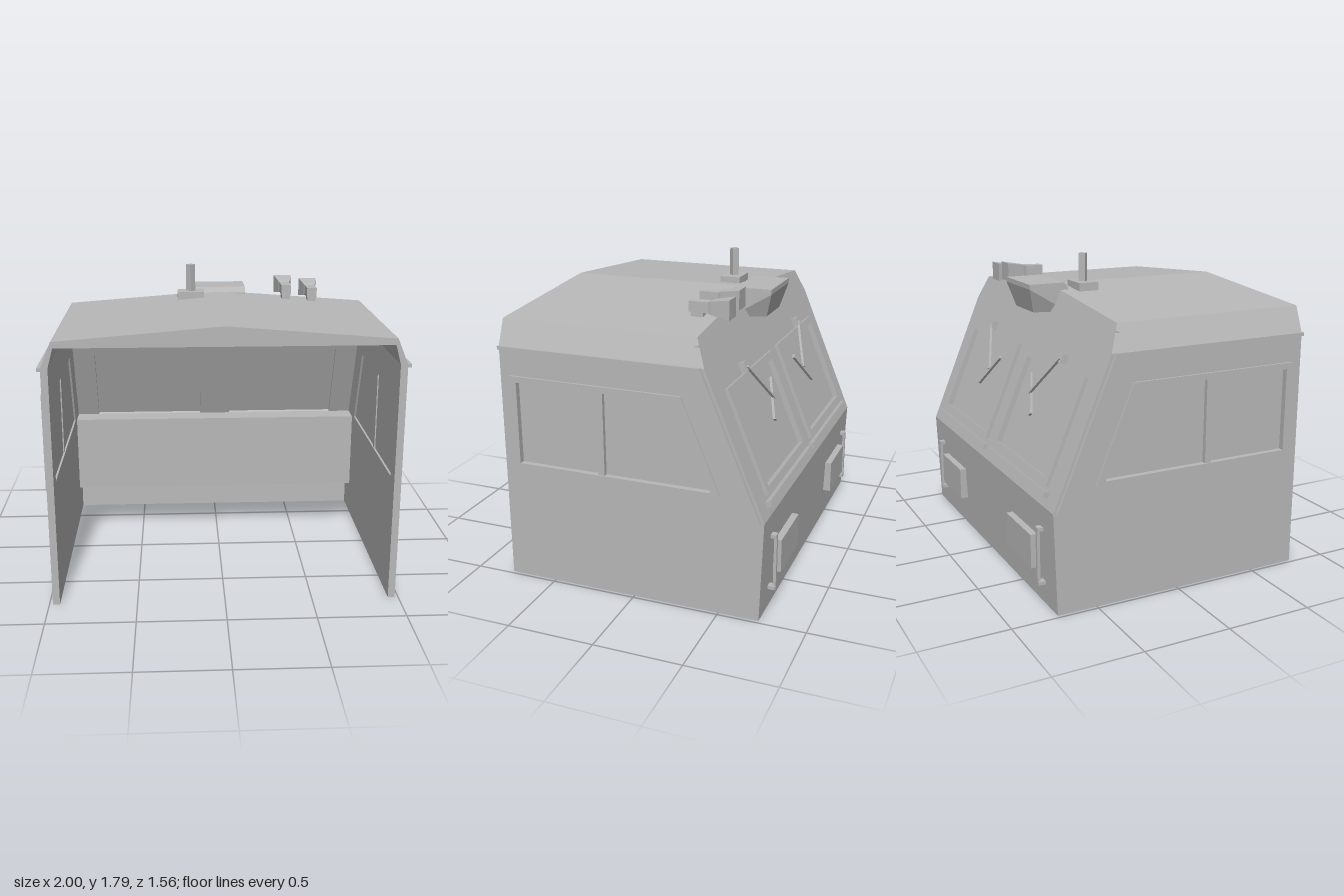
import * as THREE from 'three';

export function createModel() {
  const root = new THREE.Group();
  root.name = 'vehicleCab';
  const grey = new THREE.MeshStandardMaterial({ color: 0xb8b8b8 });
  grey.name = 'plain grey';

  const add = (name, geo, parent = root) => {
    const flat = geo.index ? geo.toNonIndexed() : geo;
    flat.computeVertexNormals();
    const mesh = new THREE.Mesh(flat, grey);
    mesh.name = name;
    parent.add(mesh);
    return mesh;
  };
  const vecs = (pts, flip = 1) => pts.map(([a, b]) => new THREE.Vector2(flip * a, b));
  const extrude = (pts, holes, depth, flip = 1) => {
    const shape = new THREE.Shape(vecs(pts, flip));
    holes.forEach((h) => shape.holes.push(new THREE.Path(vecs(h, flip))));
    return new THREE.ExtrudeGeometry(shape, { depth, bevelEnabled: false });
  };
  // Outline given as [z, y], extruded across x from x0 to x1
  const across = (pts, holes, x0, x1) =>
    extrude(pts, holes, x1 - x0, -1).rotateY(Math.PI / 2).translate(x0, 0, 0);
  // Box given by its extents
  const box = (x0, x1, y0, y1, z0, z1) =>
    new THREE.BoxGeometry(x1 - x0, y1 - y0, z1 - z0)
      .translate((x0 + x1) / 2, (y0 + y1) / 2, (z0 + z1) / 2);
  const rect = (x0, x1, y0, y1) => [[x0, y0], [x1, y0], [x1, y1], [x0, y1]];

  const slope = 0.415, kneeY = 0.575, kneeZ = -0.75;
  const slopeZ = (y) => kneeZ + slope * (y - kneeY);

  // Side walls with framed windows and rain gutters
  const wall = [[0.78, 0], [-0.73, 0], [kneeZ, kneeY], [slopeZ(1.38), 1.38], [0.78, 1.38]];
  const frameOut = [[0.72, 0.67], [-0.46, 0.67], [-0.51, 0.69], [-0.29, 1.22], [0.72, 1.22]];
  const frameIn = [[0.68, 0.71], [-0.455, 0.71], [-0.27, 1.185], [0.68, 1.185]];
  const gutter = [[0.78, 1.385], [-0.395, 1.385], [-0.735, 0.575], [-0.715, 0.575],
    [-0.38, 1.365], [0.78, 1.365]];
  for (const s of [1, -1]) {
    const part = (name, pts, holes, a, b) =>
      add(name, across(pts, holes, Math.min(s * a, s * b), Math.max(s * a, s * b)));
    part('sideWall', wall, [frameIn], 0.94, 0.98);
    part('sideWindowFrame', frameOut, [frameIn], 0.975, 0.993);
    part('sideWindowPane', frameIn, [], 0.952, 0.96);
    part('sideWindowPost', rect(0.16, 0.2, 0.71, 1.185), [], 0.945, 0.985);
    part('rainGutter', gutter, [], 0.975, 1);
  }

  // Roof shell, its rear end cut to the slope of the rear wall
  const section = [[0.98, 1.38], [0.92, 1.525], [0, 1.6], [-0.92, 1.525], [-0.98, 1.38],
    [-0.94, 1.38], [-0.91, 1.49], [0.91, 1.49], [0.94, 1.38]];
  const roof = extrude(section, [], 1);
  const rp = roof.attributes.position;
  for (let i = 0; i < rp.count; i++) rp.setZ(i, rp.getZ(i) > 0.5 ? 0.78 : slopeZ(rp.getY(i)));
  add('roof', roof);

  // Lower rear wall and the desk inside it
  add('lowerRearWall', across([[-0.73, 0], [kneeZ, kneeY], [-0.71, kneeY], [-0.69, 0]], [], -0.94, 0.94));
  add('desk', across([[-0.525, 0.2], [-0.525, 0.69], [-0.67, 0.69], [-0.72, kneeY], [-0.71, 0.2]],
    [], -0.94, 0.94));

  // Sloped rear wall: local y runs up the slope, local -z points outward
  const rear = new THREE.Group();
  rear.name = 'slopedRearWall';
  rear.position.set(0, kneeY, kneeZ);
  rear.rotation.x = Math.atan(slope);
  root.add(rear);
  const openings = [rect(0.1, 0.8, 0.14, 0.67), rect(-0.8, -0.1, 0.14, 0.67)];
  add('rearPanel', extrude(rect(-0.94, 0.94, 0, 0.99), openings, 0.04), rear);

  // Thin bar on the slope from a to b
  const bar = (name, a, b, w, z) => {
    const d = Math.hypot(b[0] - a[0], b[1] - a[1]);
    const m = add(name, new THREE.BoxGeometry(w, d, 0.015), rear);
    m.position.set((a[0] + b[0]) / 2, (a[1] + b[1]) / 2, z);
    m.rotation.z = -Math.atan2(b[0] - a[0], b[1] - a[1]);
  };
  [1, -1].forEach((s, i) => {
    const x = (a, b) => (s > 0 ? [a, b] : [-b, -a]);
    // Rear window, sill and wiper
    add('rearWindowFrame', extrude(rect(...x(0.06, 0.84), 0.105, 0.715), [openings[i]], 0.03)
      .translate(0, 0, -0.02), rear);
    add('rearWindowPane', box(...x(0.1, 0.8), 0.14, 0.67, 0.012, 0.02), rear);
    add('windowSill', box(...x(0.02, 0.87), 0.05, 0.08, -0.03, 0), rear);
    add('wiperMotor', box(...x(0.505, 0.555), 0.72, 0.775, -0.035, 0.005), rear);
    bar('wiperArm', [s * 0.53, 0.745], [s * 0.32, 0.49], 0.014, -0.035);
    bar('wiperBlade', [s * 0.235, 0.59], [s * 0.41, 0.385], 0.025, -0.028);
    // Lamp and grab handle on the lower rear wall
    add('rearLamp', box(...x(0.4, 0.75), 0.185, 0.38, -0.782, -0.73));
    add('grabHandle', box(...x(0.81, 0.83), 0.12, 0.45, -0.778, -0.762));
    for (const y of [0.12, 0.43])
      add('handleFoot', box(...x(0.80, 0.84), y, y + 0.02, -0.775, -0.73));
  });

  // Headlight housing on the roof edge, narrowing at its rear underside
  const housing = across([[-0.305, 1.628], [-0.28, 1.595], [-0.28, 1.455], [-0.48, 1.46],
    [-0.52, 1.6], [-0.52, 1.628]], [], -0.178, 0.178);
  const hp = housing.attributes.position;
  for (let i = 0; i < hp.count; i++)
    if (Math.abs(hp.getZ(i) + 0.48) < 0.01) hp.setX(i, hp.getX(i) * 0.72);
  add('headlightHousing', housing);

  // Antenna
  add('antennaBase', box(-0.247, -0.085, 1.575, 1.628, -0.24, -0.12));
  add('antennaMast', new THREE.CylinderGeometry(0.028, 0.028, 0.18, 4).translate(-0.166, 1.7, -0.18));

  // Pair of square horns opening to the rear
  const hornProfile = vecs([[0, -0.12], [0.03, -0.12], [0.03, -0.01], [0.037, 0.01],
    [0.055, 0.12], [0, 0.12]].map(([r, h]) => [r * Math.SQRT2, h]));
  for (const [x, y] of [[0.428, 1.625], [0.59, 1.605]]) {
    add('horn', new THREE.LatheGeometry(hornProfile, 4).rotateY(Math.PI / 4)
      .rotateX(-Math.PI / 2).translate(x, y, -0.31));
    add('hornMount', box(x - 0.025, x + 0.025, 1.53, y, -0.27, -0.2));
  }
  return root;
}
